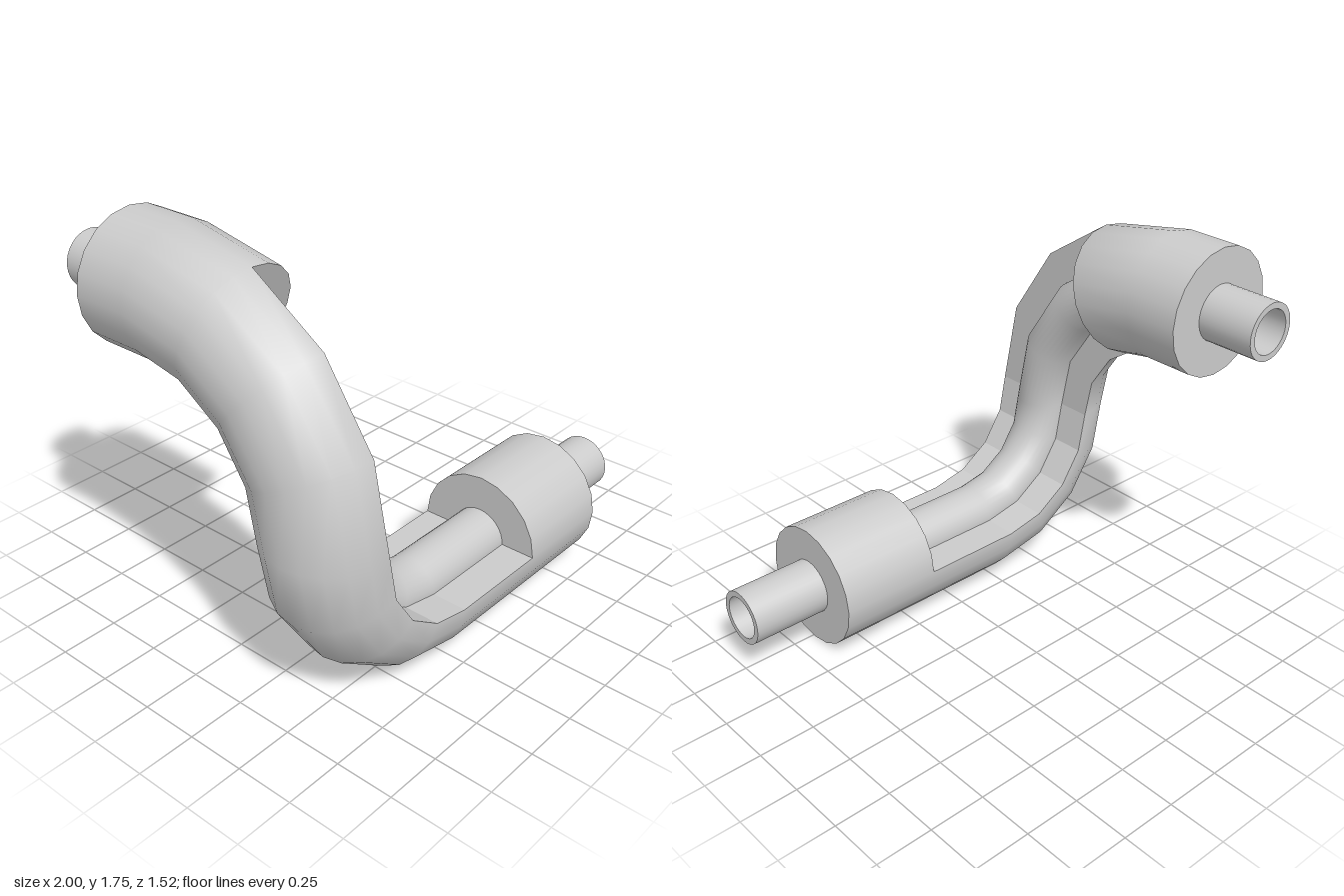
import * as THREE from 'three';

const PIPE = 0.122, BORE = 0.095, COVER = 0.275;
const COVER_SIDES = 20, PIPE_SIDES = 32;
const V = (x, y, z) => new THREE.Vector3(x, y, z);

// Stations along the centre line: p = position, n = towards the cut side, b = sideways
function makePath() {
  const path = [];
  const zc = 0.485;
  // lower straight run
  for (const x of [1, 0.65, 0.19]) path.push({ p: V(x, 0.28, zc), n: V(0, 1, 0), b: V(0, 0, 1) });
  // lower bend: from sideways to upright
  for (let i = 0; i <= 4; i++) {
    const a = i * Math.PI / 8, n = V(Math.sin(a), Math.cos(a), 0);
    path.push({ p: V(-0.27, 0.735, zc).addScaledVector(n, -0.455), n, b: V(0, 0, 1) });
  }
  // upper bend: from upright to backward
  for (let i = 1; i <= 4; i++) {
    const a = i * Math.PI / 8, b = V(0, Math.sin(a), Math.cos(a));
    path.push({ p: V(-0.725, 0.73, -0.265).addScaledVector(b, 0.75), n: V(1, 0, 0), b });
  }
  // upper straight run
  for (const z of [-0.51, -0.765]) path.push({ p: V(-0.725, 1.48, z), n: V(1, 0, 0), b: V(0, 1, 0) });
  return path;
}

const radial = (s, a) => s.n.clone().multiplyScalar(Math.cos(a)).addScaledVector(s.b, Math.sin(a));

// Grid of points; smooth when normals are given, otherwise flat
function gridGeometry(rows, normals) {
  const cols = rows[0].length, index = [];
  for (let i = 0; i < rows.length - 1; i++) {
    for (let j = 0; j < cols - 1; j++) {
      const a = i * cols + j, c = a + cols;
      index.push(a, c, a + 1, c, c + 1, a + 1);
    }
  }
  let g = new THREE.BufferGeometry().setFromPoints(rows.flat());
  g.setIndex(index);
  if (normals) {
    g.setAttribute('normal', new THREE.Float32BufferAttribute(normals.flatMap(v => v.toArray()), 3));
  } else {
    g = g.toNonIndexed();
    g.computeVertexNormals();
  }
  return g;
}

const angles = (from, to, count) =>
  Array.from({ length: count + 1 }, (_, i) => from + (to - from) * i / count);

// Curved wall swept along the stations; inward = true makes a bore
function wall(stations, r, arc, inward = false) {
  const list = inward ? [...arc].reverse() : arc;
  const rows = stations.map(s => list.map(a => radial(s, a).multiplyScalar(r).add(s.p)));
  const normals = stations.flatMap(s => list.map(a => radial(s, a).multiplyScalar(inward ? -1 : 1)));
  return gridGeometry(rows, normals);
}

// Flat ring across the path; facing the start when r0 < r1, the end when r0 > r1
function ring(s, r0, r1, arc) {
  return gridGeometry([r0, r1].map(r => arc.map(a => radial(s, a).multiplyScalar(r).add(s.p))));
}

export function createModel() {
  const model = new THREE.Group();
  const material = new THREE.MeshStandardMaterial({ color: 0xcccccc });
  const path = makePath();
  const last = path.length - 1;

  const part = (name, pieces) => {
    const group = new THREE.Group();
    group.name = name;
    for (const [pieceName, geometry] of Object.entries(pieces)) {
      const mesh = new THREE.Mesh(geometry, material);
      mesh.name = pieceName;
      group.add(mesh);
    }
    model.add(group);
  };

  const pipeArc = angles(0, 2 * Math.PI, PIPE_SIDES);
  const fullArc = angles(0, 2 * Math.PI, COVER_SIDES);
  const keptArc = angles(Math.PI / 2, 1.5 * Math.PI, COVER_SIDES / 2);
  const cutArc = angles(-Math.PI / 2, Math.PI / 2, COVER_SIDES / 2);

  // Hollow inner pipe
  part('innerPipe', {
    pipeOuterWall: wall(path, PIPE, pipeArc),
    pipeBore: wall(path, BORE, pipeArc, true),
    lowerPipeRim: ring(path[0], BORE, PIPE, pipeArc),
    upperPipeRim: ring(path[last], PIPE, BORE, pipeArc),
  });

  // Full cover sleeve on the lower run
  part('lowerSleeve', {
    lowerSleeveWall: wall(path.slice(1, 3), COVER, fullArc),
    lowerSleeveEnd: ring(path[1], PIPE, COVER, fullArc),
    lowerSleeveStep: ring(path[2], COVER, PIPE - 0.004, cutArc),
  });

  // Half cover around both bends, with its flat cut face
  const cutStations = path.slice(2, 11);
  part('halfCover', {
    halfCoverWall: wall(cutStations, COVER, keptArc),
    cutFace: gridGeometry(cutStations.map(s =>
      [-COVER, COVER].map(w => s.p.clone().addScaledVector(s.b, w)))),
  });

  // Full cover sleeve on the upper run
  part('upperSleeve', {
    upperSleeveWall: wall(path.slice(10, 13), COVER, fullArc),
    upperSleeveStep: ring(path[10], PIPE - 0.004, COVER, cutArc),
    upperSleeveEnd: ring(path[12], COVER, PIPE, fullArc),
  });

  return model;
}
